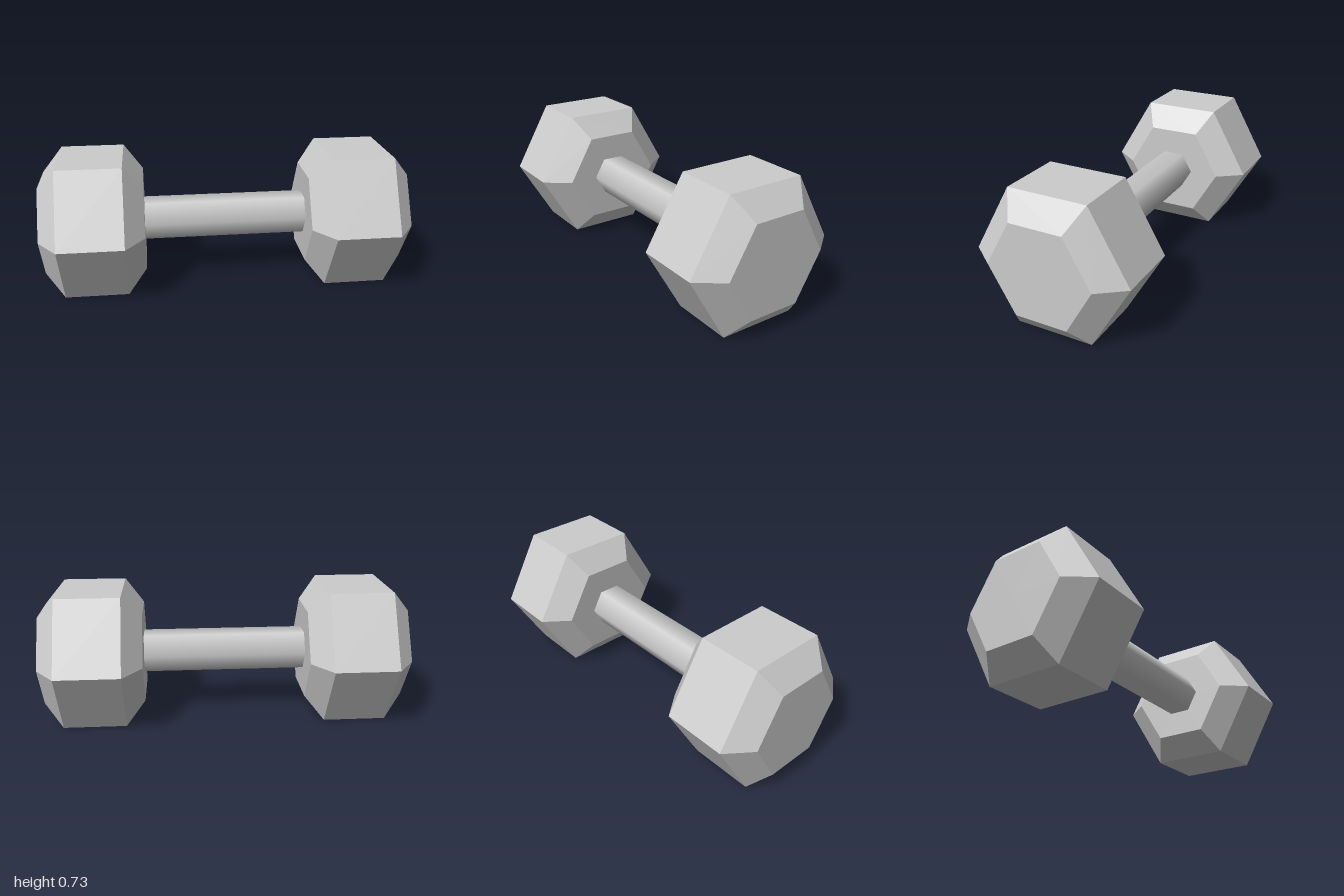
import * as THREE from 'three';

const SIDES = 6;
const RADIUS = 0.423;      // corner radius of a weight
const FACE_RADIUS = 0.284; // corner radius of its bevelled end faces
const INNER = 0.447, OUTER = 1, BEVEL = 0.104;
const AXIS_Y = RADIUS * Math.cos(Math.PI / SIDES);

export function createModel() {
  const model = new THREE.Group();
  model.name = 'dumbbell';

  const flat = new THREE.MeshStandardMaterial({ color: 0xcccccc, flatShading: true });
  const smooth = new THREE.MeshStandardMaterial({ color: 0xcccccc });

  // Hexagonal weight: bevelled profile turned in six steps, laid along x
  const half = (OUTER - INNER) / 2;
  const profile = [
    [0, -half], [FACE_RADIUS, -half], [RADIUS, -half + BEVEL],
    [RADIUS, half - BEVEL], [FACE_RADIUS, half], [0, half],
  ].map(([r, y]) => new THREE.Vector2(r, y));
  const weightGeometry = new THREE.LatheGeometry(profile, SIDES).rotateZ(-Math.PI / 2);

  for (const [name, side] of [['leftWeight', 1], ['rightWeight', -1]]) {
    const weight = new THREE.Mesh(weightGeometry, flat);
    weight.name = name;
    weight.position.set(side * (INNER + half), AXIS_Y, 0);
    model.add(weight);
  }

  // Six-sided, smooth-shaded handle between the weights
  const handle = new THREE.Mesh(
    new THREE.CylinderGeometry(0.12, 0.12, INNER * 2, SIDES, 1, true).rotateZ(-Math.PI / 2),
    smooth,
  );
  handle.name = 'handle';
  handle.position.y = AXIS_Y;
  model.add(handle);

  return model;
}
